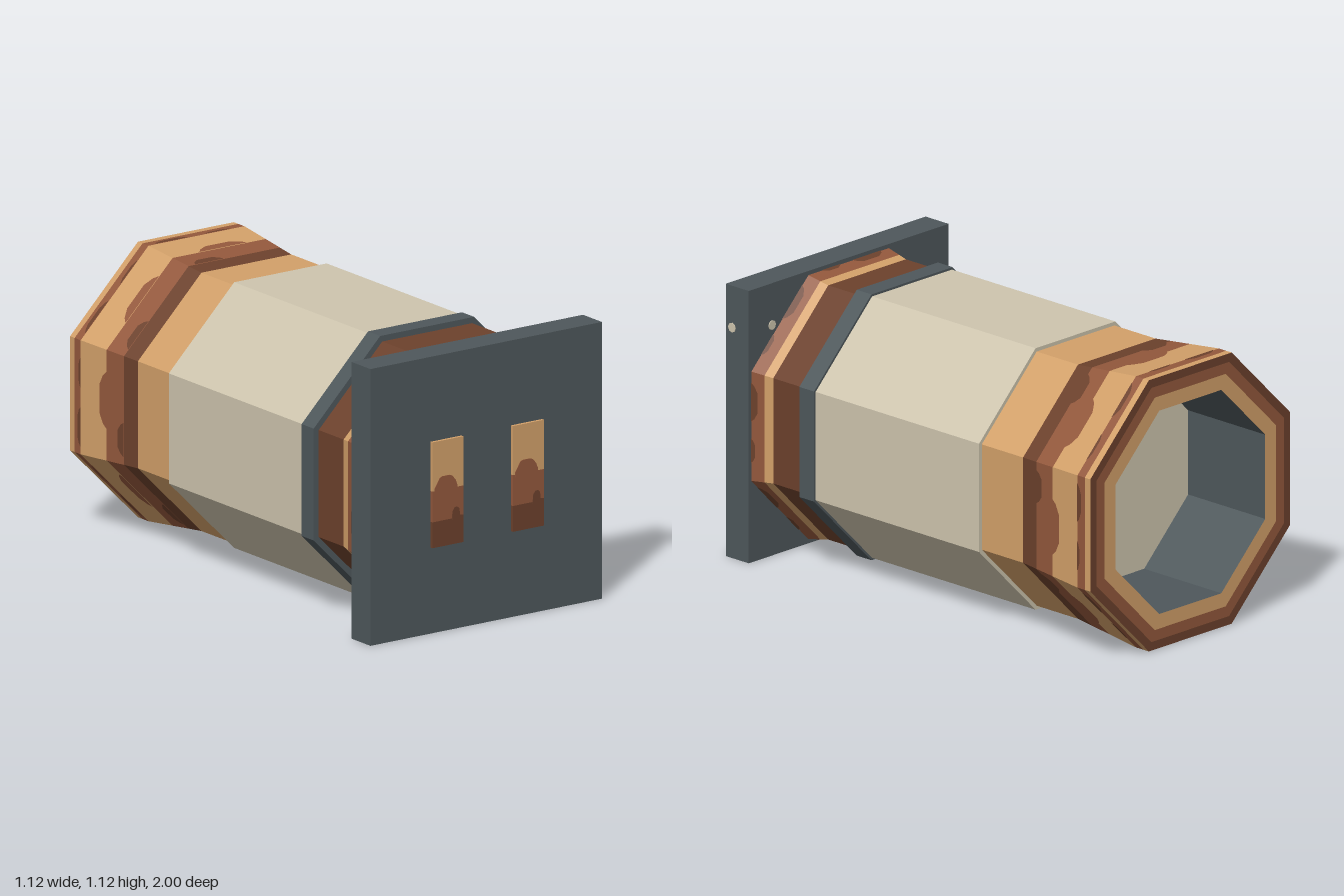
import * as THREE from 'three';

const material = (name, color) => {
  const m = new THREE.MeshStandardMaterial({ color });
  m.name = name;
  return m;
};

export function createModel() {
  const tan = material('tan wood', 0xd2a069);
  const brown = material('medium brown wood', 0x93583c);
  const dark = material('dark brown wood', 0x6c412c);
  const slate = material('slate metal', 0x4e575b);
  const cream = material('cream', 0xcec5ae);

  const model = new THREE.Group();
  model.name = 'octagonalBarrel';
  const axis = new THREE.Group(); // everything centred on the barrel axis
  axis.name = 'barrel';
  axis.position.y = 0.5625;
  model.add(axis);

  const corner = 1 / Math.cos(Math.PI / 8); // face distance to corner radius
  const add = (name, geometry, mat) => {
    const mesh = new THREE.Mesh(geometry, mat);
    mesh.name = name;
    axis.add(mesh);
    return mesh;
  };

  // Eight-sided section running from z0 (front) to z1 (back)
  const section = (name, z0, r0, z1, r1, mat, open = true, inward = false) => {
    const indexed = new THREE.CylinderGeometry(r0 * corner, r1 * corner, z0 - z1, 8, 1, open, Math.PI / 8);
    const g = indexed.toNonIndexed();
    g.rotateX(Math.PI / 2).translate(0, 0, (z0 + z1) / 2);
    if (inward) {
      // Swap two corners of each triangle so the walls face the axis
      const p = g.attributes.position;
      const a = new THREE.Vector3(), b = new THREE.Vector3();
      for (let i = 0; i < p.count; i += 3) {
        a.fromBufferAttribute(p, i);
        b.fromBufferAttribute(p, i + 1);
        p.setXYZ(i, b.x, b.y, b.z);
        p.setXYZ(i + 1, a.x, a.y, a.z);
      }
    }
    g.computeVertexNormals();
    return add(name, g, mat);
  };

  // Flared ends: distance from the axis to a face at z
  const radiusAt = (z) => {
    if (z > 0.76) return 0.525 + 0.2 * (z - 0.76);
    if (z < -0.6) return 0.525 + 0.035 * Math.min(1, (-0.6 - z) / 0.33);
    return 0.525;
  };

  // Painted wood bands: front edge, back edge, colour
  const bands = [
    [0.86, 0.80, brown], [0.80, 0.76, tan], [0.76, 0.515, dark],
    [-0.37, -0.60, tan], [-0.60, -0.68, dark], [-0.68, -0.78, brown],
    [-0.78, -0.93, tan], [-0.93, -0.97, brown], [-0.97, -1, tan],
  ];
  for (const [z0, z1, mat] of bands) section('woodBand', z0, radiusAt(z0), z1, radiusAt(z1), mat);

  // Grain humps repeated on all eight faces: centre, half width, start z, height
  const humps = [
    [0.02, 0.115, -0.78, 0.04, brown], [-0.12, 0.07, -0.68, 0.035, dark],
    [-0.12, 0.08, -0.93, 0.02, dark], [0.1, 0.06, -0.93, 0.012, dark],
    [-0.1, 0.08, 0.86, 0.03, dark], [0.1, 0.05, 0.86, 0.018, dark],
  ];
  for (const [u, w, z, h, mat] of humps) {
    const shape = new THREE.Shape([
      [-w, 0], [w, 0], [w * 0.85, h * 0.5], [w * 0.5, h], [-w * 0.5, h], [-w * 0.85, h * 0.5],
    ].map(([x, y]) => new THREE.Vector2(u + x, y)));
    const g = new THREE.ShapeGeometry(shape);
    const p = g.attributes.position;
    for (let i = 0; i < p.count; i++) {
      const zz = z - p.getY(i);
      p.setXYZ(i, p.getX(i), radiusAt(zz) + 0.002, zz);
    }
    g.computeVertexNormals();
    for (let k = 0; k < 8; k++) add('grainHump', g, mat).rotation.z = k * Math.PI / 4;
  }

  // Sleeve and collar
  section('sleeve', 0.52, 0.54, -0.375, 0.54, cream, false);
  section('collar', 0.595, 0.549, 0.515, 0.549, slate, false);

  // Layered rim around the open back
  for (const [inner, outer, mat] of [[0.525, 0.56, dark], [0.48, 0.525, brown], [0.42, 0.48, tan]]) {
    const g = new THREE.RingGeometry(inner * corner, outer * corner, 8, 1, Math.PI / 8);
    add('rim', g.rotateY(Math.PI).translate(0, 0, -1), mat);
  }

  // Bore with its pale end
  section('bore', -0.58, 0.42, -1, 0.42, slate, true, true);
  const end = new THREE.CircleGeometry(0.42 * corner, 8, Math.PI / 8);
  add('boreEnd', end.rotateY(Math.PI).translate(0, 0, -0.58), cream);

  // Square front plate
  add('frontPlate', new THREE.BoxGeometry(1.12, 1.125, 0.125).translate(0, 0, 0.9225), slate);

  // Small pins on the plate's side and back
  const pin = new THREE.CylinderGeometry(0.02, 0.02, 0.006, 8);
  const sidePin = add('sidePin', pin, cream);
  sidePin.rotation.z = Math.PI / 2;
  sidePin.position.set(0.56, 0.39, 0.95);
  const backPin = add('backPin', pin, cream);
  backPin.rotation.x = Math.PI / 2;
  backPin.position.set(0.43, 0.39, 0.86);

  // Two inlaid wooden panels on the front
  const hump = (points) => new THREE.ExtrudeGeometry(
    new THREE.Shape(points.map(([x, y]) => new THREE.Vector2(x, y - 0.5625))),
    { depth: 0.003, bevelEnabled: false });
  const archGeometry = hump([[-0.065, 0.57], [0.045, 0.57], [0.045, 0.59], [0.036, 0.612],
    [0.02, 0.63], [0.008, 0.635], [-0.028, 0.635], [-0.04, 0.63], [-0.055, 0.605], [-0.065, 0.59]]);
  const knotGeometry = hump([[0.02, 0.45], [0.075, 0.45], [0.075, 0.462], [0.058, 0.465],
    [0.055, 0.49], [0.045, 0.5], [0.032, 0.5], [0.022, 0.485]]);
  for (const x of [-0.195, 0.195]) {
    for (const [y0, y1, mat] of [[0.35, 0.455, dark], [0.455, 0.58, brown], [0.58, 0.78, tan]]) {
      const g = new THREE.BoxGeometry(0.15, y1 - y0, 0.013);
      add('frontPanel', g.translate(x, (y0 + y1) / 2 - 0.5625, 0.9915), mat);
    }
    add('panelArch', archGeometry, brown).position.set(x, 0, 0.997);
    add('panelKnot', knotGeometry, dark).position.set(x, 0, 0.997);
  }

  return model;
}
